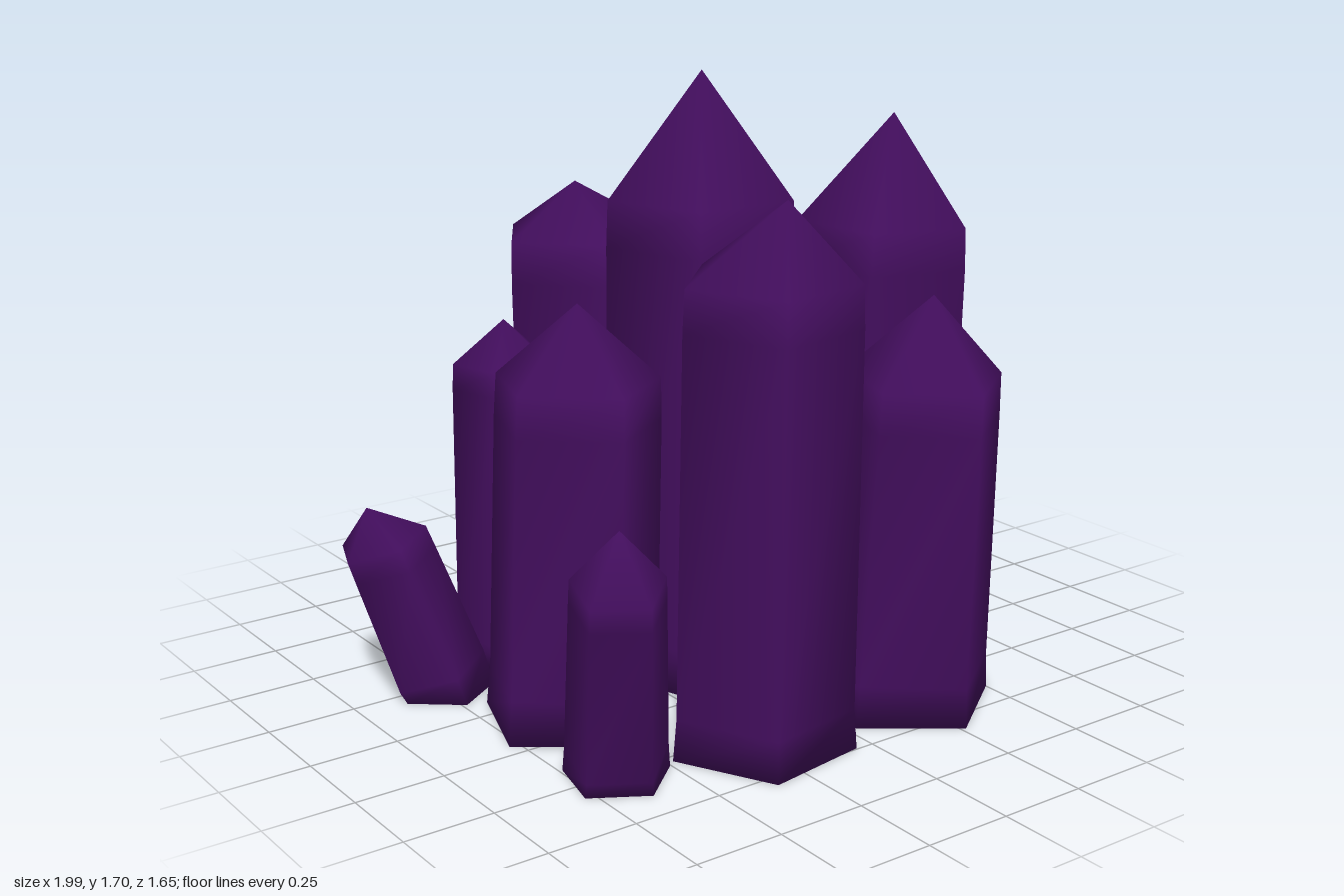
import * as THREE from 'three';

const SIDES = 5;

// Each crystal: base [x, z, radius], corner angle in degrees, shoulder [x, y, z, radius], tip [x, y, z]
const CRYSTALS = [
  { name: 'centreCrystal', base: [-0.04, 0.04, 0.285], angle: -90, shoulder: [-0.04, 1.36, 0.04, 0.262], tip: [-0.04, 1.7, 0.045] },
  { name: 'backCrystal', base: [-0.05, -0.505, 0.27], angle: -112, shoulder: [-0.06, 1.17, -0.53, 0.25], tip: [-0.07, 1.32, -0.545] },
  { name: 'rightCrystal', base: [-0.54, 0.13, 0.25], angle: -125, shoulder: [-0.5, 0.93, 0.12, 0.23], tip: [-0.5, 1.14, 0.13] },
  { name: 'leftCrystal', base: [0.51, 0.12, 0.265], angle: -79, shoulder: [0.545, 1.24, 0.125, 0.25], tip: [0.57, 1.545, 0.13] },
  { name: 'frontRightCrystal', base: [-0.23, 0.565, 0.255], angle: -99, shoulder: [-0.23, 1.25, 0.59, 0.235], tip: [-0.23, 1.46, 0.66] },
  { name: 'frontLeftCrystal', base: [0.265, 0.575, 0.25], angle: -126, shoulder: [0.29, 0.92, 0.6, 0.22], tip: [0.31, 1.14, 0.6] },
  { name: 'smallBackLeftCrystal', base: [0.37, -0.285, 0.165], angle: 1, shoulder: [0.38, 0.875, -0.29, 0.145], tip: [0.38, 0.98, -0.3] },
  { name: 'smallBackRightCrystal', base: [-0.45, -0.33, 0.16], angle: -87, shoulder: [-0.45, 0.88, -0.33, 0.145], tip: [-0.45, 1.0, -0.33] },
  { name: 'leaningRightShard', base: [-0.73, -0.23, 0.14], angle: 21, shoulder: [-0.88, 0.45, -0.28, 0.122], tip: [-0.92, 0.555, -0.28] },
  { name: 'leaningLeftShard', base: [0.71, -0.22, 0.13], angle: 18, shoulder: [0.88, 0.4, -0.28, 0.12], tip: [0.9, 0.495, -0.295] },
  { name: 'leaningBackShard', base: [0.345, -0.585, 0.145], angle: 56, shoulder: [0.41, 0.45, -0.705, 0.125], tip: [0.42, 0.55, -0.74] },
  { name: 'leaningFrontShard', base: [-0.645, 0.51, 0.145], angle: -59, shoulder: [-0.72, 0.57, 0.64, 0.125], tip: [-0.73, 0.72, 0.66] },
];

// Closed, smooth-shaded crystal from stacked pentagons that follow the lean of the axis
function crystalGeometry({ base, angle, shoulder, tip }) {
  const [bx, bz, br] = base;
  const [sx, sy, sz, sr] = shoulder;
  const leanX = (sx - bx) / sy;
  const leanZ = (sz - bz) / sy;
  const bevel = br * 0.45;

  // height and radius of each cross-section; the lowest stays flat on the ground
  const rings = [
    [0, br],
    [bevel, br * 0.965],
    [sy - bevel, sr * 1.02],
    [sy, sr],
  ];
  const positions = [];
  rings.forEach(([y, r], k) => {
    for (let i = 0; i < SIDES; i++) {
      const a = THREE.MathUtils.degToRad(angle + (i * 360) / SIDES);
      const ox = r * Math.cos(a);
      const oz = r * Math.sin(a);
      const tilt = k === 0 ? 0 : 0.8 * (ox * leanX + oz * leanZ);
      positions.push(bx + leanX * y + ox, y - tilt, bz + leanZ * y + oz);
    }
  });
  const apex = positions.length / 3;
  positions.push(...tip, bx, 0, bz);

  const index = [];
  const last = (rings.length - 1) * SIDES;
  for (let i = 0; i < SIDES; i++) {
    const j = (i + 1) % SIDES;
    for (let k = 0; k < last; k += SIDES) {
      const a = k + i, b = k + j;
      index.push(a, a + SIDES, b, b, a + SIDES, b + SIDES);
    }
    index.push(last + i, apex, last + j); // point
    index.push(apex + 1, i, j); // underside
  }

  const geometry = new THREE.BufferGeometry();
  geometry.setAttribute('position', new THREE.Float32BufferAttribute(positions, 3));
  geometry.setIndex(index);
  geometry.computeVertexNormals();
  return geometry;
}

export function createModel() {
  const group = new THREE.Group();
  group.name = 'crystalCluster';
  const material = new THREE.MeshStandardMaterial({ color: 0x430e5e });
  for (const crystal of CRYSTALS) {
    const mesh = new THREE.Mesh(crystalGeometry(crystal), material);
    mesh.name = crystal.name;
    group.add(mesh);
  }
  return group;
}
